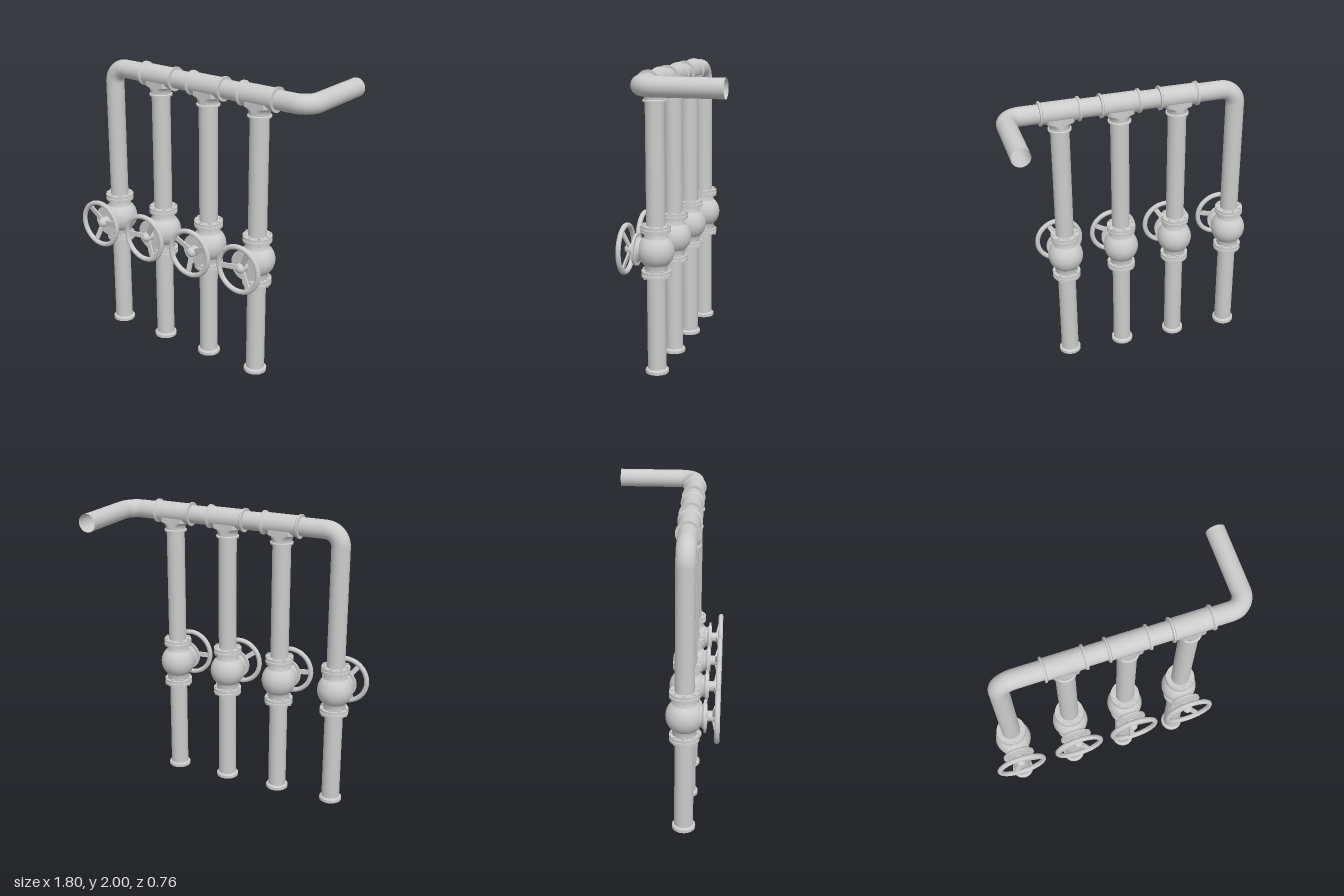
import * as THREE from 'three';
import { toCreasedNormals } from 'three/addons/utils/BufferGeometryUtils.js';

const material = new THREE.MeshStandardMaterial({ color: 0xcccccc, side: THREE.DoubleSide });
const R = 0.062;          // pipe radius
const BEND = 0.105;       // elbow centreline radius
const TOP = 1.92;         // height of the header pipe
const Z = 0.16;           // depth of the risers
const VALVE_Y = 0.83;
const COLUMNS = [-0.73, -0.32, 0.077, 0.477];
const WHEEL_TURN = [10, 58, 25, 62];
const END_X = 0.833;

function add(parent, name, geometry, x = 0, y = 0, z = 0) {
  const mesh = new THREE.Mesh(geometry, material);
  mesh.name = name;
  mesh.position.set(x, y, z);
  parent.add(mesh);
  return mesh;
}

// Turned part from [radius, height] pairs
function turned(points, sides = 40) {
  const g = new THREE.LatheGeometry(points.map(p => new THREE.Vector2(p[0], p[1])), sides);
  return toCreasedNormals(g, 0.6);
}

// Open straight pipe between two points
function pipe(parent, name, from, to) {
  const a = new THREE.Vector3(...from), b = new THREE.Vector3(...to);
  const dir = b.clone().sub(a);
  const mesh = add(parent, name, new THREE.CylinderGeometry(R, R, dir.length(), 32, 1, true));
  mesh.position.copy(a).add(b).multiplyScalar(0.5);
  mesh.quaternion.setFromUnitVectors(new THREE.Vector3(0, 1, 0), dir.normalize());
}

function elbow(parent, name, x, y, z) {
  return add(parent, name, new THREE.TorusGeometry(BEND, R, 32, 16, Math.PI / 2), x, y, z);
}

// Three-spoked handwheel facing +z
function handwheel(turn) {
  const wheel = new THREE.Group();
  wheel.name = 'handwheel';
  add(wheel, 'rim', new THREE.TorusGeometry(0.154, 0.017, 14, 48), 0, 0, 0.205);
  add(wheel, 'hub', new THREE.SphereGeometry(0.034, 24, 16), 0, 0, 0.18);
  for (let i = 0; i < 3; i++) {
    const arm = new THREE.Group();
    arm.name = 'spoke';
    arm.rotation.z = THREE.MathUtils.degToRad(turn + i * 120);
    const blade = add(arm, 'spokeBlade', new THREE.BoxGeometry(0.132, 0.034, 0.012), 0.085, 0, 0.191);
    blade.rotation.y = -Math.atan2(0.028, 0.13);
    wheel.add(arm);
  }
  return wheel;
}

function valve(turn) {
  const group = new THREE.Group();
  group.name = 'valve';
  add(group, 'body', new THREE.SphereGeometry(0.12, 40, 28));

  // Bolted flange pairs above and below the body
  for (const side of [1, -1]) {
    const flange = new THREE.Group();
    flange.name = side > 0 ? 'upperFlange' : 'lowerFlange';
    if (side < 0) flange.rotation.x = Math.PI;
    add(flange, 'flangePair', turned([
      [0.085, 0.08], [0.076, 0.1], [0.076, 0.13], [0.097, 0.13], [0.097, 0.148], [0.08, 0.148],
      [0.08, 0.154], [0.097, 0.154], [0.097, 0.171], [R, 0.171],
    ]));
    for (let i = 0; i < 8; i++) {
      const a = i * Math.PI / 4;
      const x = 0.084 * Math.sin(a), z = 0.084 * Math.cos(a);
      add(flange, 'bolt', new THREE.CylinderGeometry(0.005, 0.005, 0.062, 8), x, 0.15, z);
      for (const y of [0.124, 0.176])
        add(flange, 'nut', toCreasedNormals(new THREE.CylinderGeometry(0.009, 0.009, 0.01, 6), 0.5), x, y, z);
    }
    group.add(flange);
  }

  // Bonnet with cover plate and stem, pointing forward
  const bonnet = add(group, 'bonnet', turned([
    [0.085, 0.07], [0.07, 0.095], [0.072, 0.108], [0.086, 0.121], [0.106, 0.121],
    [0.106, 0.137], [0.08, 0.137], [0.08, 0.142], [0.034, 0.142], [0.034, 0.18], [0, 0.18],
  ]));
  bonnet.rotation.x = Math.PI / 2;
  group.add(handwheel(turn));
  return group;
}

// T-junction with collars on its three mouths
function tee() {
  const group = new THREE.Group();
  group.name = 'tee';
  const rt = 0.07;
  const run = add(group, 'run', turned([
    [R, -0.134], [0.08, -0.134], [0.08, -0.122], [0.074, -0.118], [rt, -0.115],
    [rt, 0.115], [0.074, 0.118], [0.08, 0.122], [0.08, 0.134], [R, 0.134],
  ]));
  run.rotation.z = Math.PI / 2;

  // Branch flares sideways into the run but stays flush front and back
  const profile = [[R, -0.127], [0.077, -0.127], [0.077, -0.116], [0.068, -0.112], [0.068, -0.1],
    [0.072, -0.085], [0.082, -0.072], [0.1, -0.062], [0.1, -0.03]];
  const branch = new THREE.LatheGeometry(profile.map(p => new THREE.Vector2(...p)), 48);
  const pos = branch.attributes.position;
  for (let i = 0; i < pos.count; i++)
    if (pos.getY(i) > -0.105) pos.setZ(i, THREE.MathUtils.clamp(pos.getZ(i), -0.068, 0.068));
  add(group, 'branch', toCreasedNormals(branch, 0.6));
  return group;
}

export function createModel() {
  const model = new THREE.Group();
  model.name = 'pipeManifold';

  COLUMNS.forEach((x, i) => {
    // Riser pipes with the valve between them
    pipe(model, 'lowerPipe', [x, 0.005, Z], [x, VALVE_Y - 0.1, Z]);
    pipe(model, 'upperPipe', [x, VALVE_Y + 0.1, Z], [x, i ? TOP - 0.05 : TOP - BEND, Z]);
    add(model, 'footCollar', turned([
      [R - 0.004, 0.014], [R, 0], [0.077, 0], [0.077, 0.02], [0.07, 0.028], [R, 0.03],
    ]), x, 0, Z);
    const v = valve(WHEEL_TURN[i]);
    v.position.set(x, VALVE_Y, Z);
    model.add(v);
    if (i) {
      const t = tee();
      t.position.set(x, TOP, Z);
      model.add(t);
    }
  });

  // Header pipe with its two elbows and the outlet running back
  const x0 = COLUMNS[0] + BEND, x1 = END_X - BEND;
  elbow(model, 'riserElbow', x0, TOP - BEND, Z).rotation.z = Math.PI / 2;
  pipe(model, 'headerPipe', [x0, TOP, Z], [x1, TOP, Z]);
  elbow(model, 'outletElbow', x1, TOP, Z - BEND).rotation.x = Math.PI / 2;
  pipe(model, 'outletPipe', [END_X, TOP, Z - BEND], [END_X, TOP, -0.383]);
  return model;
}
